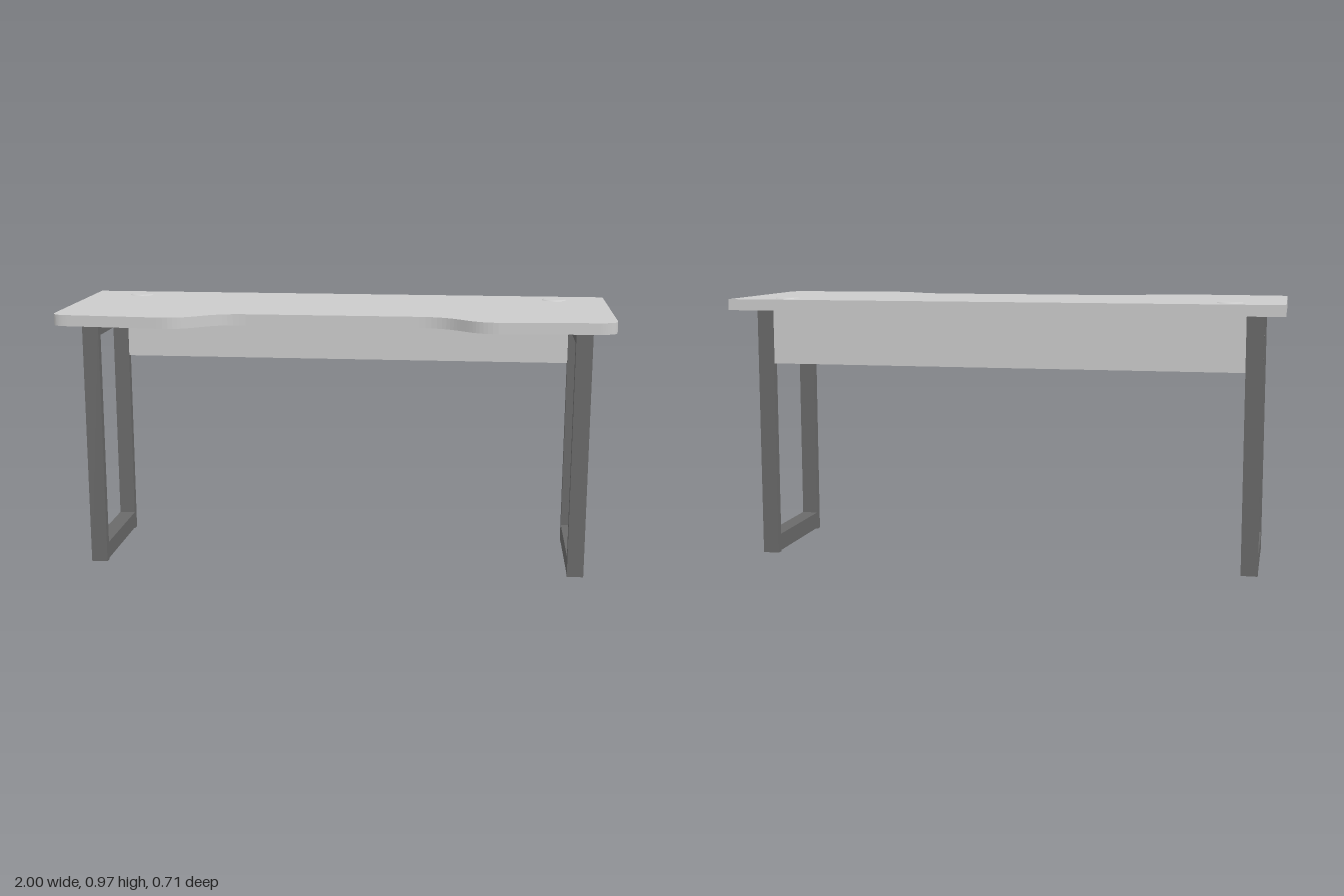
import * as THREE from 'three';

const board = new THREE.MeshStandardMaterial({ color: 0xcccccc });
const metal = new THREE.MeshStandardMaterial({ color: 0x6a6a6a });

// Box given by its minimum and maximum corners
function box(name, material, [x0, y0, z0], [x1, y1, z1]) {
  const mesh = new THREE.Mesh(new THREE.BoxGeometry(x1 - x0, y1 - y0, z1 - z0), material);
  mesh.position.set((x0 + x1) / 2, (y0 + y1) / 2, (z0 + z1) / 2);
  mesh.name = name;
  return mesh;
}

// Table top: square back corners, rounded front corners, scooped front edge
function createTop() {
  const s = new THREE.Shape();
  s.moveTo(-1, -0.355);
  s.lineTo(1, -0.355);
  s.lineTo(1, 0.27);
  s.bezierCurveTo(1, 0.31, 0.985, 0.322, 0.94, 0.327);
  s.lineTo(0.61, 0.352);
  s.bezierCurveTo(0.46, 0.365, 0.48, 0.242, 0.31, 0.24);
  s.lineTo(-0.31, 0.24);
  s.bezierCurveTo(-0.48, 0.242, -0.46, 0.365, -0.61, 0.352);
  s.lineTo(-0.94, 0.327);
  s.bezierCurveTo(-0.985, 0.322, -1, 0.31, -1, 0.27);
  s.closePath();
  const geo = new THREE.ExtrudeGeometry(s, { depth: 0.04, bevelEnabled: false, curveSegments: 20 });
  geo.rotateX(Math.PI / 2); // shape y becomes z, thickness hangs down
  const top = new THREE.Mesh(geo, board);
  top.position.y = 0.964;
  top.name = 'tableTop';
  return top;
}

// Rectangular leg frame with two screws holding the panel
function createLeg(side) {
  const leg = new THREE.Group();
  leg.name = side > 0 ? 'leftLegFrame' : 'rightLegFrame';
  const w = 0.03;
  leg.add(
    box('frontPost', metal, [-w, 0, 0.163], [w, 0.924, 0.193]),
    box('backPost', metal, [-w, 0, -0.262], [w, 0.924, -0.234]),
    box('topRail', metal, [-w, 0.868, -0.234], [w, 0.924, 0.163]),
    box('bottomRail', metal, [-w, 0.005, -0.234], [w, 0.068, 0.163])
  );
  for (const y of [0.77, 0.85]) {
    const screw = new THREE.Mesh(new THREE.CylinderGeometry(0.004, 0.004, 0.003, 12), metal);
    screw.rotation.z = Math.PI / 2;
    screw.position.set(side * (w + 0.001), y, -0.247);
    screw.name = 'screw';
    leg.add(screw);
  }
  leg.position.x = side * 0.896;
  return leg;
}

// Low oval cable cover on the table top
function createCableCover(side) {
  const profile = [[0, 0.003], [0.036, 0.003], [0.038, 0.004], [0.043, 0.003], [0.046, 0]]
    .map(([r, y]) => new THREE.Vector2(r, y)).reverse();
  const cover = new THREE.Mesh(new THREE.LatheGeometry(profile, 32), board);
  cover.scale.z = 0.8;
  cover.position.set(side * 0.808, 0.964, -0.253);
  cover.name = 'cableCover';
  return cover;
}

export function createModel() {
  const desk = new THREE.Group();
  desk.name = 'desk';
  desk.add(createTop());
  desk.add(box('backPanel', board, [-0.866, 0.722, -0.257], [0.866, 0.924, -0.237]));
  for (const side of [-1, 1]) desk.add(createLeg(side), createCableCover(side));
  return desk;
}
